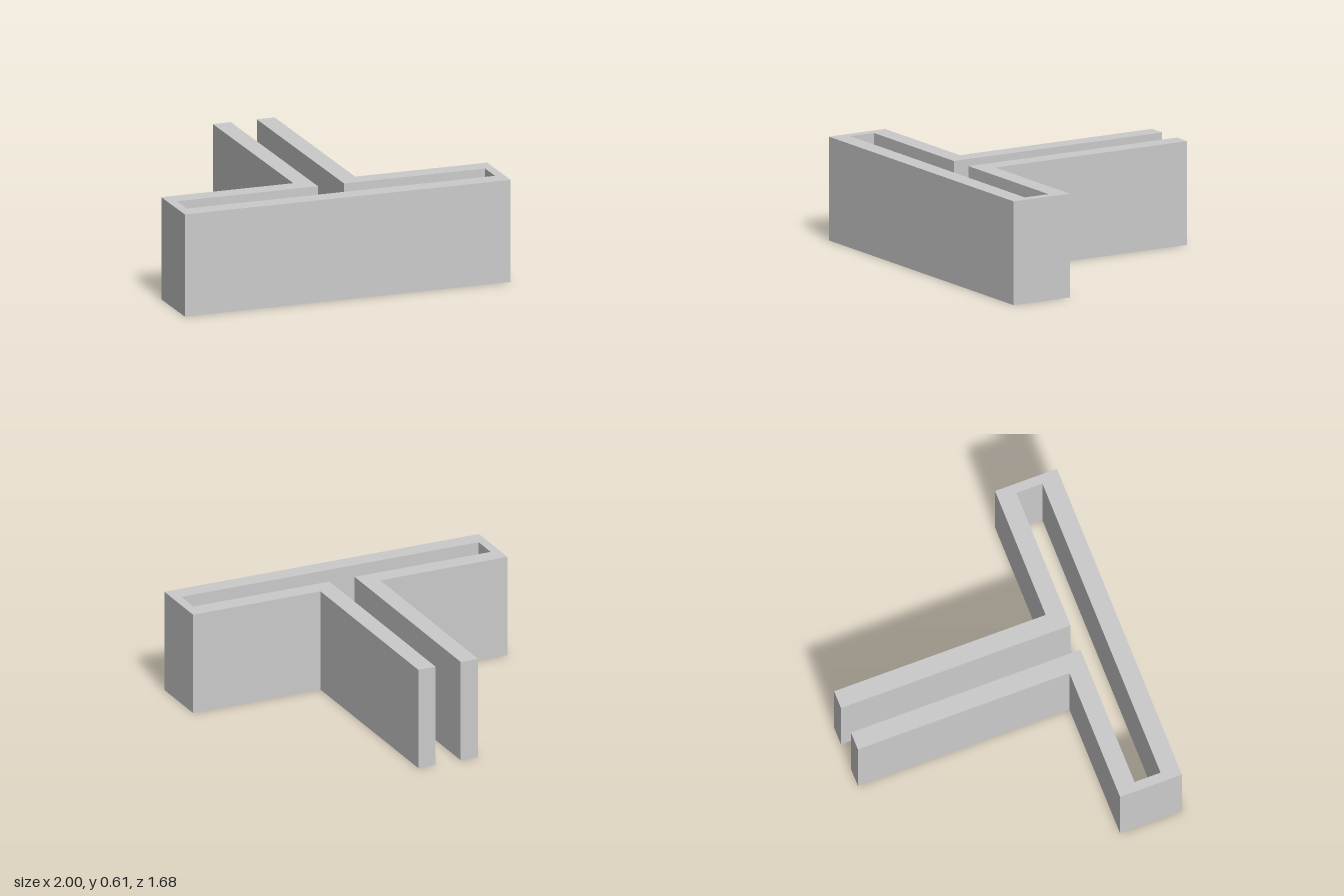
import * as THREE from 'three';

const HEIGHT = 0.61;
const GAP = 0.08; // half width of the channel between the two legs

// Plan of the left half as [x, z], starting and ending on the front wall
const halfPlan = (start) => [
  [start, 0.84], [1, 0.84], [1, 0.46], [0.19, 0.46], [0.19, -0.84],
  [GAP, -0.84], [GAP, 0.57], [0.945, 0.57], [0.945, 0.73], [start, 0.73],
];
const mirror = (plan) => plan.map(([x, z]) => [-x, z]).reverse();

// Horizontal cap facing up or down
function cap(plan, y, up) {
  const dir = up ? -1 : 1;
  const shape = new THREE.Shape(plan.map(([x, z]) => new THREE.Vector2(x, dir * z)));
  return new THREE.ShapeGeometry(shape).rotateX(dir * Math.PI / 2).translate(0, y, 0);
}

// Vertical walls following a closed plan
function walls(plan) {
  const pos = [];
  plan.forEach(([ax, az], i) => {
    const [bx, bz] = plan[(i + 1) % plan.length];
    pos.push(ax, 0, az, bx, 0, bz, bx, HEIGHT, bz);
    pos.push(ax, 0, az, bx, HEIGHT, bz, ax, HEIGHT, az);
  });
  const geometry = new THREE.BufferGeometry();
  geometry.setAttribute('position', new THREE.Float32BufferAttribute(pos, 3));
  geometry.computeVertexNormals();
  return geometry;
}

export function createModel() {
  const group = new THREE.Group();
  group.name = 'channelWalls';
  const material = new THREE.MeshStandardMaterial({ color: 0xcccccc, side: THREE.DoubleSide });
  const add = (name, geometry) => {
    const mesh = new THREE.Mesh(geometry, material);
    mesh.name = name;
    group.add(mesh);
  };

  // T-shaped channel: the left half joined to its mirror image
  const half = halfPlan(0);
  const outline = [...half.slice(1, -1), ...mirror(half).slice(1, -1)];
  add('wallFaces', walls(outline));
  add('wallTops', cap(outline, HEIGHT, true));

  // The underside is open in the middle of the front wall
  const base = halfPlan(GAP);
  add('leftUnderside', cap(base, 0, false));
  add('rightUnderside', cap(mirror(base), 0, false));
  return group;
}
